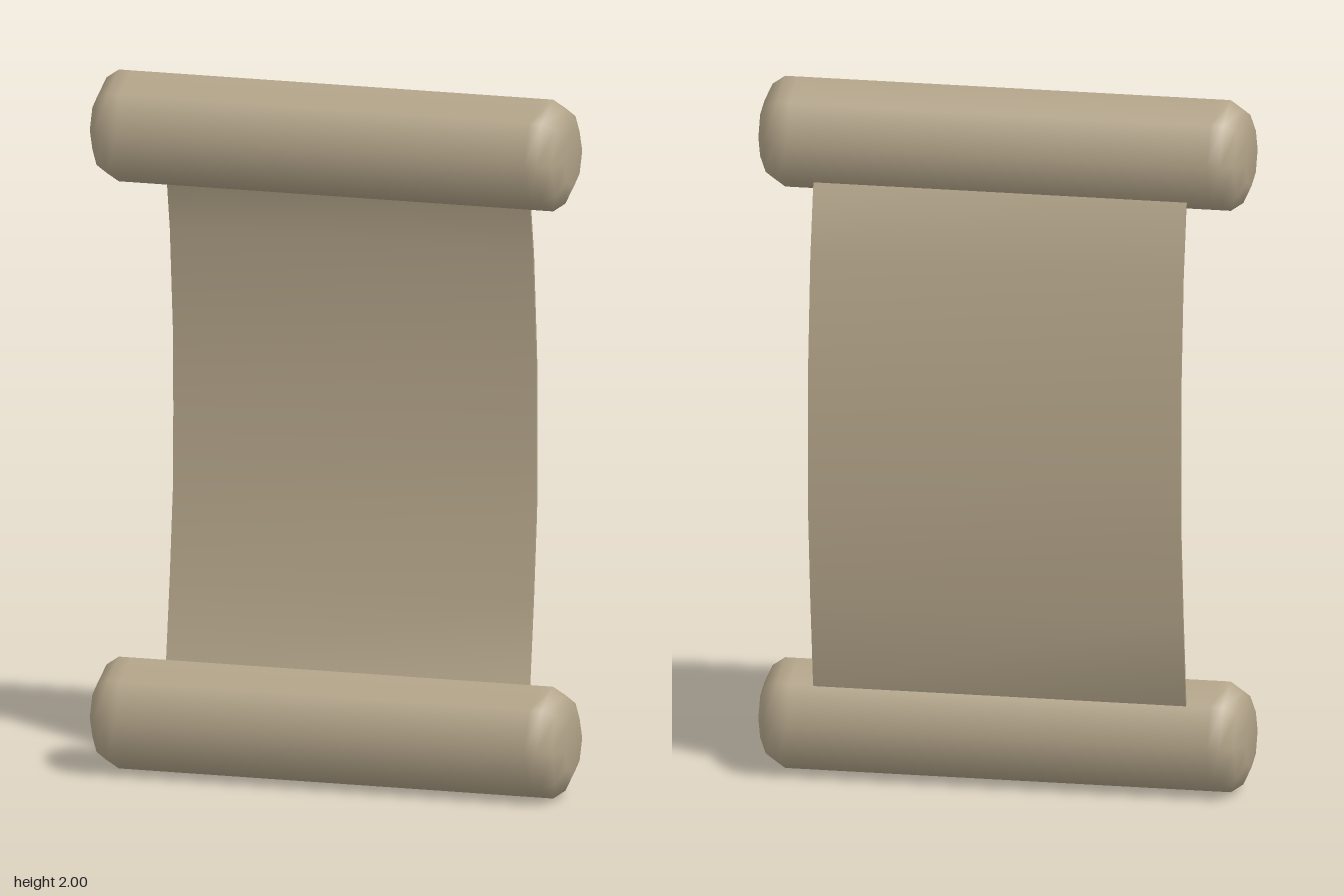
import * as THREE from 'three';
import { toCreasedNormals } from 'three/addons/utils/BufferGeometryUtils.js';

const parchment = new THREE.MeshStandardMaterial({ color: 0xb4a58a });
parchment.name = 'parchment';

// Eight-sided roll along x with chamfered ends
function makeRoll(name, y) {
  const half = [[0.085, 0.695], [0.135, 0.672], [0.16, 0.636], [0.16, 0.6]];
  const profile = [
    [0, -0.695], ...half.map(([r, x]) => [r, -x]),
    ...half.slice().reverse(), [0, 0.695],
  ].map(([r, x]) => new THREE.Vector2(r, x));
  const geometry = new THREE.LatheGeometry(profile, 8);
  geometry.rotateZ(-Math.PI / 2);
  geometry.scale(1, 1, 0.97);
  const roll = new THREE.Mesh(geometry, parchment);
  roll.name = name;
  roll.position.set(0, y, 0.015);
  return roll;
}

// Thin sheet bowed towards the back, drawn as a side section and extruded along x
function makeSheet() {
  const width = 1.064, thickness = 0.009;
  const back = [
    [-0.06, 0.2], [-0.1, 0.28], [-0.137, 0.53], [-0.166, 0.78], [-0.169, 1.0],
    [-0.166, 1.22], [-0.137, 1.52], [-0.1, 1.71], [-0.06, 1.79],
  ];
  const front = back.map(([z, y]) => [z + thickness, y]).reverse();
  const shape = new THREE.Shape([...back, ...front].map(([z, y]) => new THREE.Vector2(z, y)));
  const geometry = new THREE.ExtrudeGeometry(shape, { depth: width, bevelEnabled: false });
  geometry.translate(0, 0, -width / 2);
  geometry.rotateY(-Math.PI / 2);
  const sheet = new THREE.Mesh(toCreasedNormals(geometry, 0.6), parchment);
  sheet.name = 'sheet';
  return sheet;
}

export function createModel() {
  const scroll = new THREE.Group();
  scroll.name = 'scroll';
  scroll.add(makeRoll('topRoll', 1.84), makeRoll('bottomRoll', 0.16), makeSheet());
  return scroll;
}
